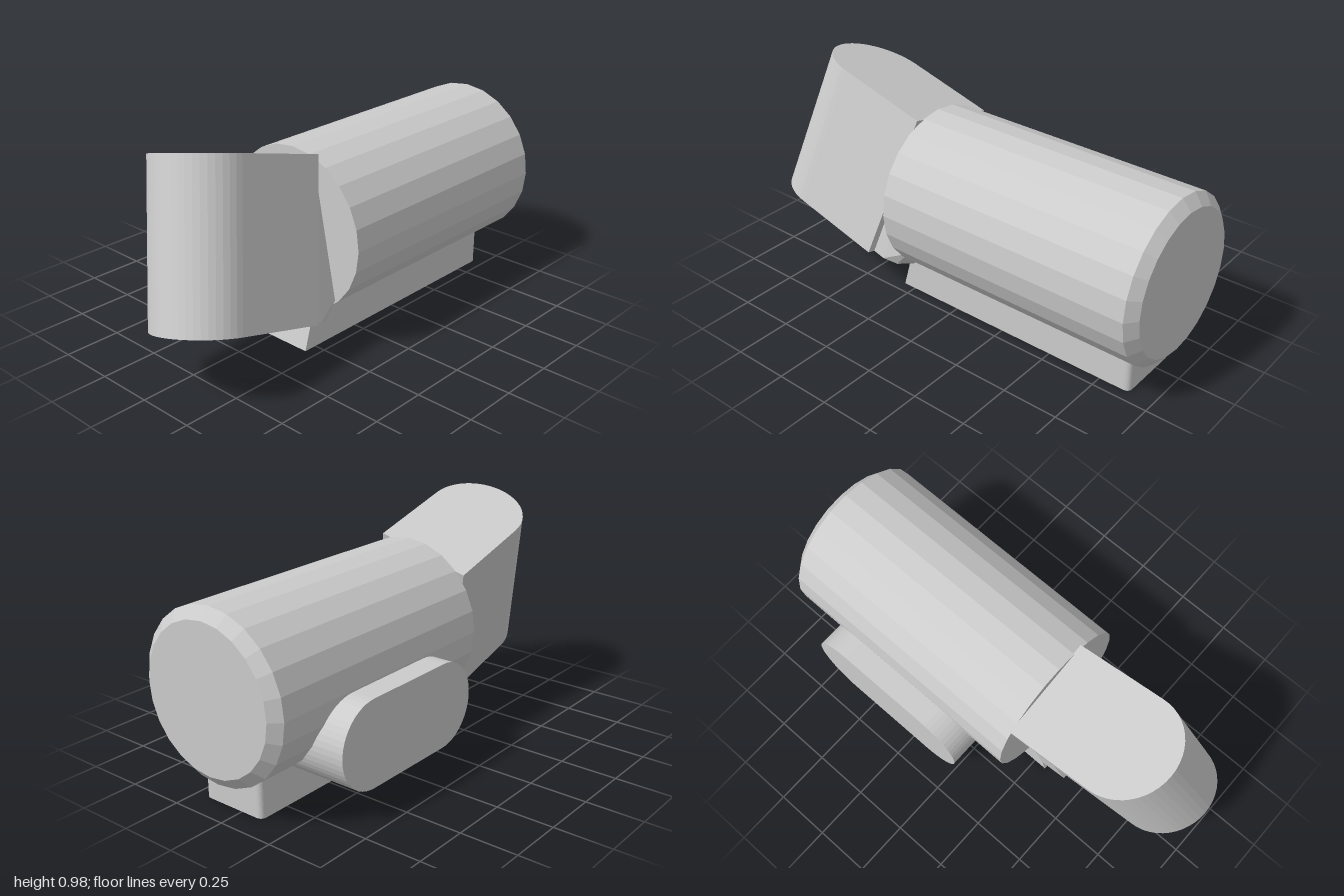
import * as THREE from 'three';
import { ConvexGeometry } from 'three/addons/geometries/ConvexGeometry.js';

const material = new THREE.MeshStandardMaterial({ color: 0xcccccc, flatShading: true });

// The hood leans along this vector; its end faces are square to it.
const LEAN = new THREE.Vector3(-0.16, 0.635, -0.17);
const hoodFloor = (x, z) => 0.32 + 0.26 * (x - 0.11) + 0.28 * (z - 1);

function addPart(group, name, geometry) {
  const mesh = new THREE.Mesh(geometry, material);
  mesh.name = name;
  group.add(mesh);
  return mesh;
}

// Raises a plan outline (x, -z) into a solid; place(x, z, t) sets each vertex, t from 0 to 1.
function raisePlan(shape, place) {
  const geometry = new THREE.ExtrudeGeometry(shape, { depth: 1, bevelEnabled: false, curveSegments: 12 });
  const p = geometry.attributes.position;
  for (let i = 0; i < p.count; i++) {
    p.setXYZ(i, ...place(p.getX(i), -p.getY(i), p.getZ(i)));
  }
  geometry.computeVertexNormals();
  return geometry;
}

export function createModel() {
  const group = new THREE.Group();

  // Main barrel with a chamfered rear rim
  const profile = [[0, -1], [0.31, -1], [0.358, -0.96], [0.358, 0.22], [0, 0.22]];
  const barrel = new THREE.LatheGeometry(profile.map(([r, y]) => new THREE.Vector2(r, y)), 24);
  barrel.rotateX(Math.PI / 2);
  addPart(group, 'barrel', barrel).position.set(0.048, 0.488, 0);

  // Leaning hood with a rounded nose
  const hood = new THREE.Shape();
  hood.moveTo(0.345, -0.385);
  hood.lineTo(-0.09, -0.385);
  hood.lineTo(-0.09, -0.79);
  hood.absellipse(0.1275, -0.79, 0.2175, 0.21, Math.PI, Math.PI * 2, false);
  hood.closePath();
  addPart(group, 'hood', raisePlan(hood, (x, z, t) => [
    x + t * LEAN.x,
    hoodFloor(x, z) + t * LEAN.y,
    z + t * LEAN.z,
  ]));

  // Neck joining the hood to the barrel
  const neckPlan = [[-0.105, 0.42], [-0.105, 0.29], [0.2, 0.25], [0.28, 0.275], [0.31, 0.33], [0.31, 0.42]];
  const neckPoints = neckPlan.map(([x, z]) => new THREE.Vector3(x, hoodFloor(x, z), z));
  neckPoints.push(
    new THREE.Vector3(-0.1, 0.17, 0.21), new THREE.Vector3(0.2, 0.17, 0.21),
    new THREE.Vector3(0.28, 0.24, 0.21), new THREE.Vector3(-0.2, 0.74, 0.21),
    new THREE.Vector3(0.17, 0.78, 0.21),
  );
  addPart(group, 'neck', new ConvexGeometry(neckPoints));

  // Foot block: rounded rear corners and a raked front
  const foot = new THREE.Shape();
  foot.moveTo(-0.105, -0.31);
  foot.lineTo(0.2, -0.31);
  foot.lineTo(0.2, 0.86);
  foot.quadraticCurveTo(0.2, 0.89, 0.17, 0.89);
  foot.lineTo(-0.075, 0.89);
  foot.quadraticCurveTo(-0.105, 0.89, -0.105, 0.86);
  foot.closePath();
  addPart(group, 'foot', raisePlan(foot, (x, z, t) => {
    const y = t * 0.18;
    return [x, y, z > 0 ? z - 0.28 * y : z];
  }));

  // Side pod with round ends
  const podRadius = 0.185;
  const pod = new THREE.Shape();
  pod.absarc(-0.145, 0.295, podRadius, -Math.PI / 2, Math.PI / 2, false);
  pod.absarc(-0.585, 0.295, podRadius, Math.PI / 2, Math.PI * 1.5, false);
  pod.closePath();
  const podGeometry = new THREE.ExtrudeGeometry(pod, { depth: 0.39, bevelEnabled: false, curveSegments: 12 });
  podGeometry.rotateY(-Math.PI / 2);
  addPart(group, 'sidePod', podGeometry).position.x = -0.02;

  return group;
}
